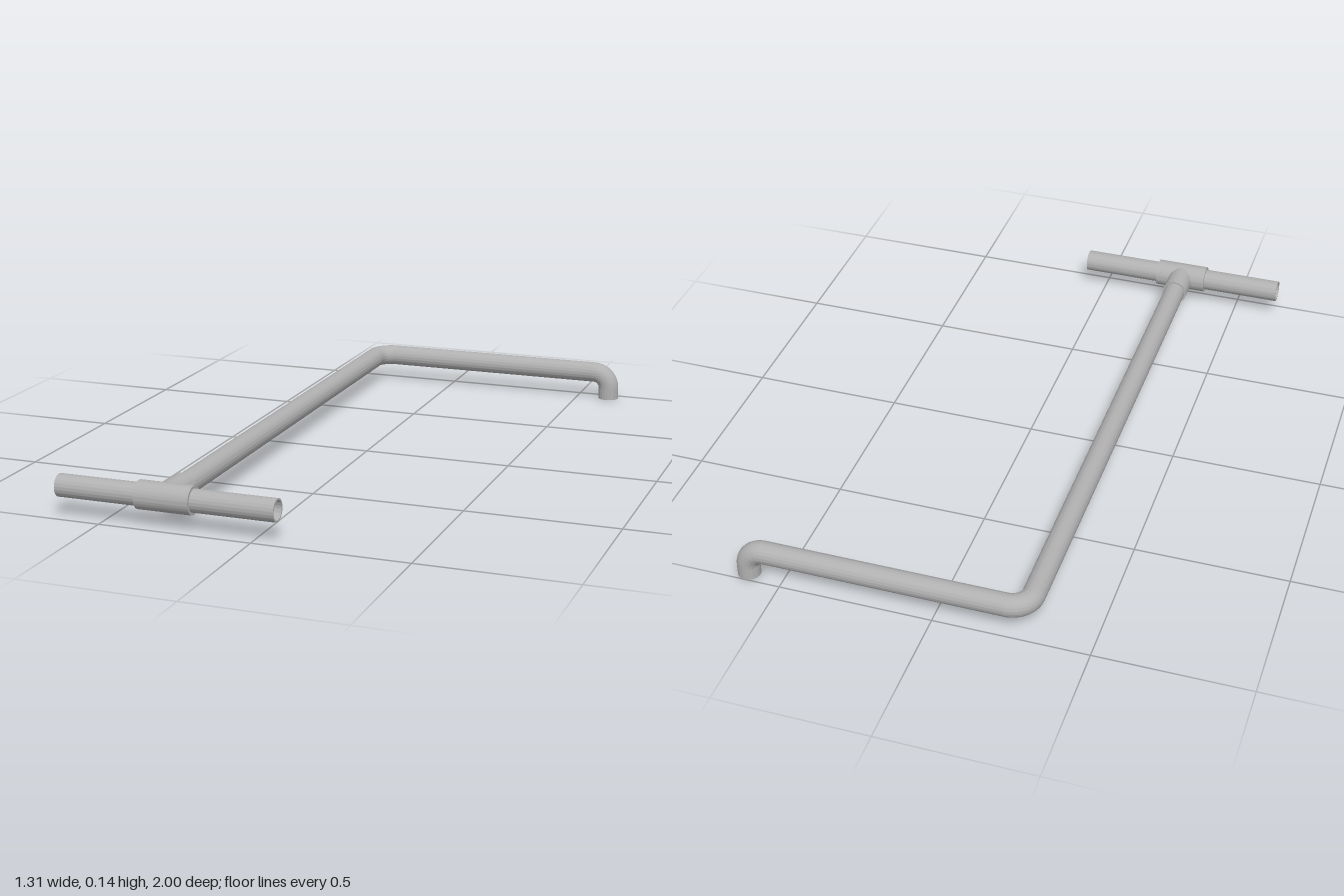
import * as THREE from 'three';
import { toCreasedNormals } from 'three/addons/utils/BufferGeometryUtils.js';

const PIPE = 0.0365, BORE = 0.031;
const Y = 0.095;                    // height of the pipe axis
const FRONT = 0.954, BACK = -0.9635; // z of the cross pipe and the rear pipe
const STEM = -0.292, DROP = 0.6155;  // x of the long pipe and the down spout

const v = (x, y, z) => new THREE.Vector3(x, y, z);

// Quarter-circle bend rounding off a corner between two directions
class Bend extends THREE.Curve {
  constructor(corner, dirIn, dirOut, radius) {
    super();
    Object.assign(this, { dirIn, dirOut, radius });
    this.centre = corner.clone().addScaledVector(dirIn, -radius).addScaledVector(dirOut, radius);
  }
  getPoint(t, target = new THREE.Vector3()) {
    const a = t * Math.PI / 2;
    return target.copy(this.centre)
      .addScaledVector(this.dirOut, -this.radius * Math.cos(a))
      .addScaledVector(this.dirIn, this.radius * Math.sin(a));
  }
}

// Hollow pipe: a ring swept along a curve
function sweepRing(curve, steps, outer, inner) {
  const ring = new THREE.Shape().absarc(0, 0, outer, 0, Math.PI * 2, false);
  ring.holes.push(new THREE.Path().absarc(0, 0, inner, 0, Math.PI * 2, true));
  return new THREE.ExtrudeGeometry(ring, { steps, curveSegments: 32, extrudePath: curve });
}

export function createModel() {
  const model = new THREE.Group();
  model.name = 'pipeAssembly';
  const grey = new THREE.MeshStandardMaterial({ color: 0xb0b0b0 });
  grey.name = 'grey pipe';

  const add = (name, geometry) => {
    const mesh = new THREE.Mesh(toCreasedNormals(geometry, 0.7), grey);
    mesh.name = name;
    model.add(mesh);
  };
  const straight = (name, a, b, outer = PIPE, inner = BORE) =>
    add(name, sweepRing(new THREE.LineCurve3(a, b), 1, outer, inner));
  const bend = (name, corner, dirIn, dirOut, radius) =>
    add(name, sweepRing(new Bend(corner, dirIn, dirOut, radius), 14, PIPE, BORE));

  // Open cross pipe with the tee sleeve around it
  straight('crossPipe', v(-0.653, Y, FRONT), v(0.069, Y, FRONT));
  straight('teeSleeve', v(STEM - 0.09, Y, FRONT), v(STEM + 0.09, Y, FRONT), 0.0455, 0.036);

  // Tee branch, its front end cut to a saddle that sits on the sleeve
  const branch = sweepRing(new THREE.LineCurve3(v(STEM, Y, FRONT), v(STEM, Y, 0.835)), 1, 0.043, 0.036);
  const p = branch.attributes.position;
  for (let i = 0; i < p.count; i++) {
    if (p.getZ(i) < FRONT - 0.05) continue;
    const dy = p.getY(i) - Y;
    p.setZ(i, FRONT - Math.sqrt(Math.max(0, 0.0435 ** 2 - dy * dy)));
  }
  add('teeBranch', branch);

  // Long pipe, rear elbow, rear pipe, down elbow and spout
  const rearBend = 0.066, dropBend = 0.056;
  straight('longPipe', v(STEM, Y, 0.9), v(STEM, Y, BACK + rearBend));
  bend('rearElbow', v(STEM, Y, BACK), v(0, 0, -1), v(1, 0, 0), rearBend);
  straight('rearPipe', v(STEM + rearBend, Y, BACK), v(DROP - dropBend, Y, BACK));
  bend('downElbow', v(DROP, Y, BACK), v(1, 0, 0), v(0, -1, 0), dropBend);
  straight('spout', v(DROP, Y - dropBend, BACK), v(DROP, 0, BACK));

  return model;
}
